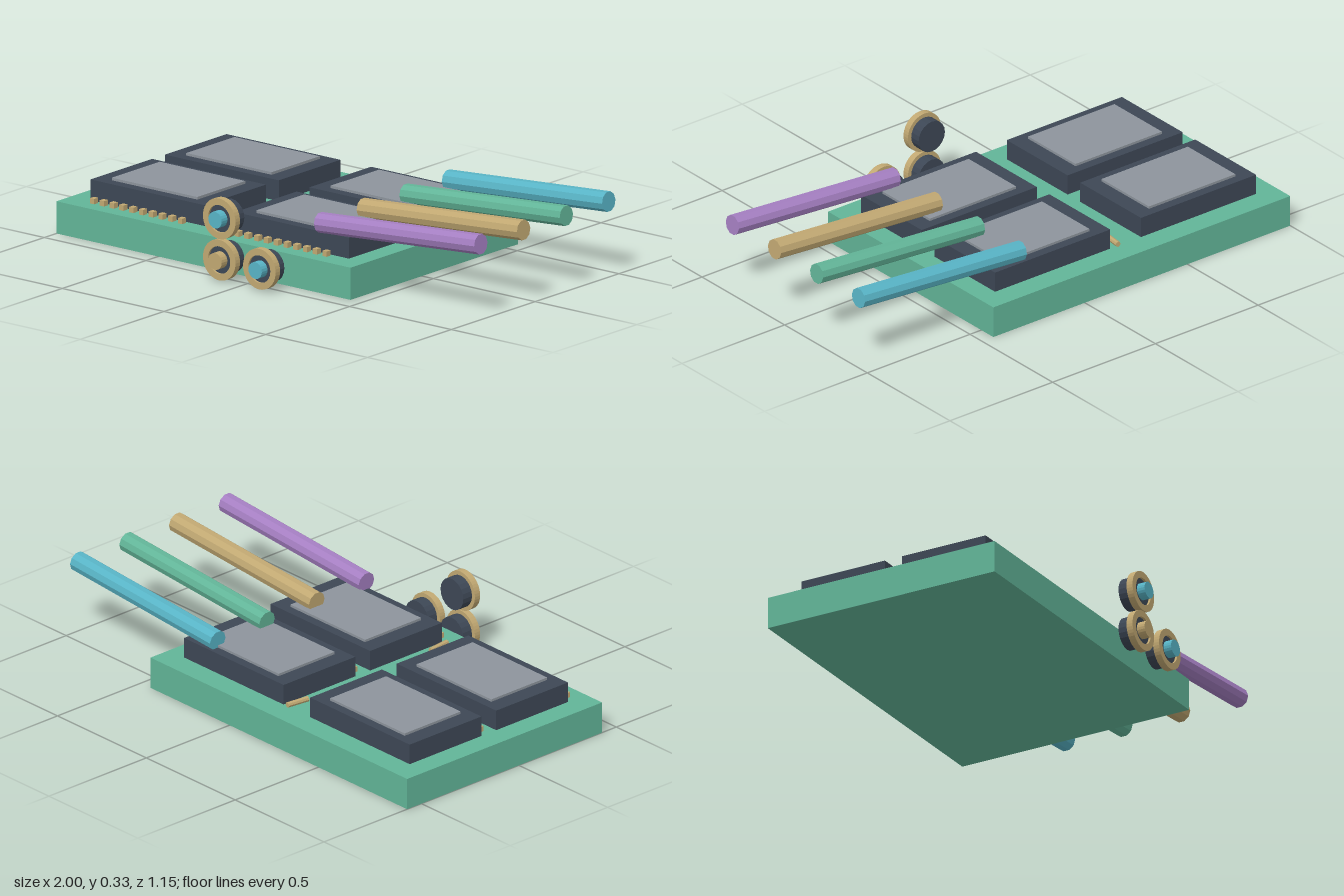
import * as THREE from 'three';

const mat = (name, color, flatShading = true) => {
  const m = new THREE.MeshStandardMaterial({ color, flatShading });
  m.name = name;
  return m;
};

export function createModel() {
  const root = new THREE.Group();
  root.name = 'circuitBoard';
  const green = mat('board green', 0x62b598);
  const dark = mat('chip charcoal', 0x3d4755);
  const grey = mat('lid grey', 0x8d949c);
  const tan = mat('brass tan', 0xc1a872);
  const cyan = mat('cable cyan', 0x58b4c6);
  const purple = mat('cable purple', 0xa57fc2);

  const add = (parent, name, geo, material, x = 0, y = 0, z = 0) => {
    const m = new THREE.Mesh(geo, material);
    m.name = name;
    m.position.set(x, y, z);
    parent.add(m);
    return m;
  };
  // Cylinder lying along z
  const disc = (r, depth, sides = 20) =>
    new THREE.CylinderGeometry(r, r, depth, sides).rotateX(Math.PI / 2);

  // Base board
  const top = 0.127;
  add(root, 'board', new THREE.BoxGeometry(1.445, top, 1), green, -0.2775, top / 2, -0.073);

  // Four chips, each with a thin lid and a row of pins along the front
  const chipGeo = new THREE.BoxGeometry(0.56, 0.082, 0.368);
  const lidGeo = new THREE.BoxGeometry(0.42, 0.01, 0.287);
  const pinGeo = new THREE.BoxGeometry(0.021, 0.021, 0.024);
  for (const x of [-0.63, 0.08]) {
    for (const z of [-0.294, 0.15]) {
      const chip = new THREE.Group();
      chip.name = 'chip';
      chip.position.set(x, top, z);
      root.add(chip);
      add(chip, 'chipBody', chipGeo, dark, 0, 0.041, 0);
      add(chip, 'chipLid', lidGeo, grey, 0, 0.087, -0.002);
      for (let i = 0; i < 10; i++) {
        add(chip, 'pin', pinGeo, tan, -0.243 + i * 0.048, 0.0105, 0.207);
      }
    }
  }

  // Small loose components between the chips
  const rodGeo = disc(0.011, 0.095, 8);
  for (const [x, z, turn] of [[-0.237, -0.44, -0.12], [-0.237, 0.285, 0.12], [0.257, -0.076, Math.PI / 2]]) {
    const rod = add(root, 'smallComponent', rodGeo, tan, x, 0.139, z);
    rod.rotation.y = turn;
    if (x > 0) rod.scale.z = 1.18;
  }

  // Four cables rising gently to the side
  const cableGeo = new THREE.CylinderGeometry(0.04, 0.04, 0.79, 10);
  [[cyan, -0.443], [green, -0.19], [tan, 0.065], [purple, 0.32]].forEach(([material, z]) => {
    const cable = add(root, 'cable', cableGeo, material, 0.603, 0.268, z);
    cable.rotation.z = -Math.PI / 2 + 0.072;
  });

  // Round connectors: dark body, brass ring and protruding core
  const ringShape = new THREE.Shape().absarc(0, 0, 0.08, 0, Math.PI * 2);
  ringShape.holes.push(new THREE.Path().absarc(0, 0, 0.054, 0, Math.PI * 2, true));
  const ringGeo = new THREE.ExtrudeGeometry(ringShape, { depth: 0.027, bevelEnabled: false, curveSegments: 20 });
  const bodyGeo = disc(0.064, 0.046);
  const faceGeo = disc(0.0545, 0.02);
  const coreGeo = disc(0.033, 0.046);
  for (const [x, y, core] of [[-0.1, 0.248, cyan], [-0.1, 0.085, tan], [0.097, 0.085, cyan]]) {
    const connector = new THREE.Group();
    connector.name = 'connector';
    connector.position.set(x, y, 0);
    root.add(connector);
    add(connector, 'connectorBody', bodyGeo, dark, 0, 0, 0.5);
    add(connector, 'connectorFace', faceGeo, dark, 0, 0, 0.53);
    add(connector, 'connectorRing', ringGeo, tan, 0, 0, 0.522);
    add(connector, 'connectorCore', coreGeo, core, 0, 0, 0.551);
  }
  return root;
}
